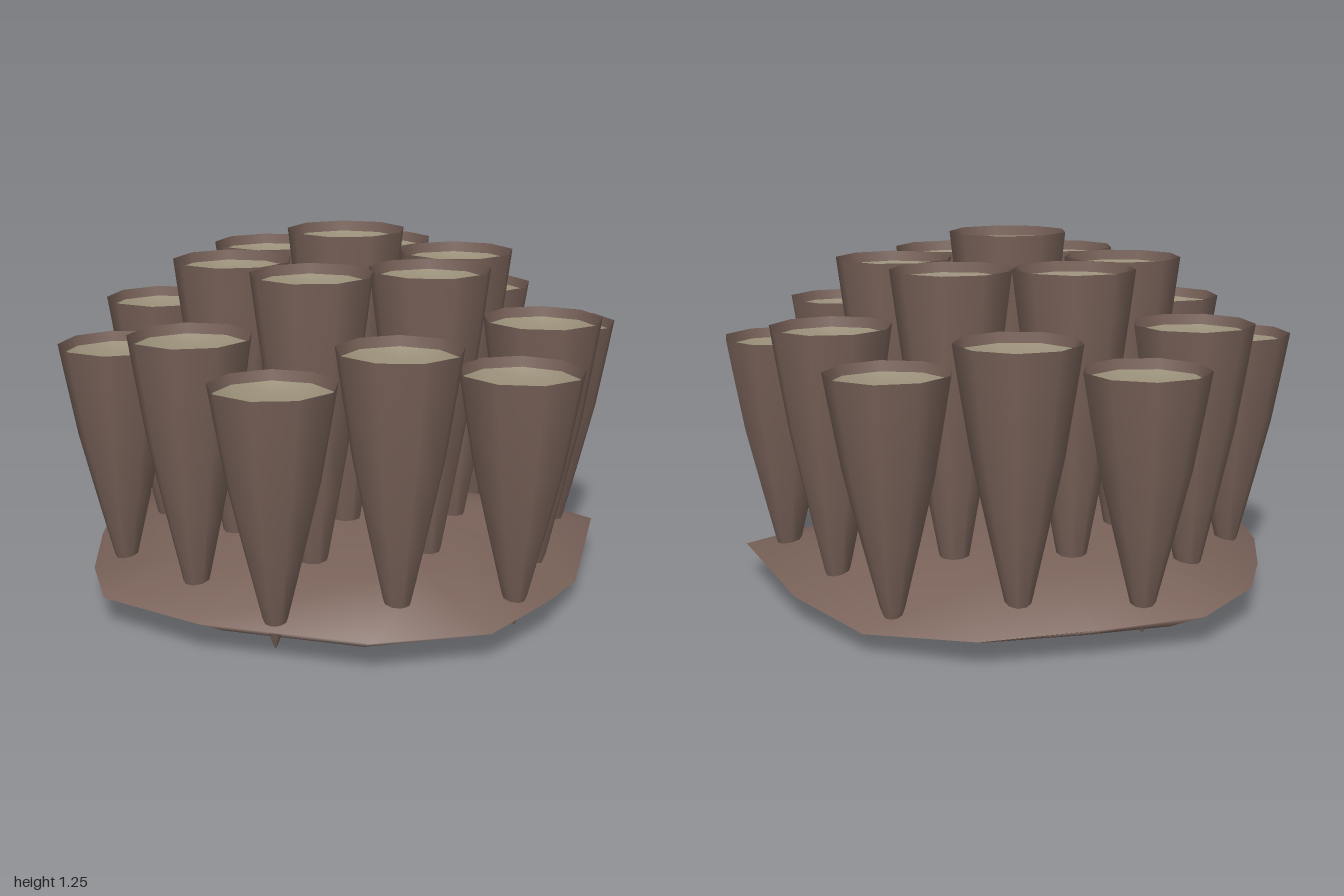
import * as THREE from 'three';

const brown = new THREE.MeshStandardMaterial({ color: 0x7a635a, side: THREE.DoubleSide });
const tan = new THREE.MeshStandardMaterial({ color: 0x958b75, side: THREE.DoubleSide });
const v2 = (x, y) => new THREE.Vector2(x, y);

// Uneven slab edge: x, y, z, running left-back-right-front
const EDGE = [
  [-0.93, 0.12, -0.08], [-0.88, 0.11, -0.38], [-0.62, 0.1, -0.62], [-0.32, 0.09, -0.86],
  [0.06, 0.07, -0.92], [0.42, 0.09, -0.78], [0.86, 0.12, -0.46], [0.87, 0.06, 0.05],
  [0.82, 0.11, 0.38], [0.69, 0.1, 0.66], [0.35, 0.11, 0.86], [-0.22, 0.11, 0.87],
  [-0.6, 0.1, 0.74], [-0.75, 0.1, 0.5], [-0.86, 0.11, 0.2],
];
// Slab rings from the underside over the edge to the top: scale, height (null = edge height)
const RINGS = [[0.84, 0.032], [1, null], [0.6, 0.175], [0.28, 0.198], [0, 0.2]];

function createBase() {
  const base = new THREE.Group();
  base.name = 'base';
  const n = EDGE.length, pos = [], idx = [];
  for (const [s, h] of RINGS) for (const [x, y, z] of EDGE) pos.push(x * s, h ?? y, z * s);
  for (let k = 0; k < RINGS.length - 1; k++) {
    for (let i = 0; i < n; i++) {
      const j = (i + 1) % n;
      const a = k * n + i, b = k * n + j, c = a + n, d = b + n;
      idx.push(a, c, b);
      if (k < RINGS.length - 2) idx.push(b, c, d);
    }
  }
  const g = new THREE.BufferGeometry();
  g.setAttribute('position', new THREE.Float32BufferAttribute(pos, 3));
  g.setIndex(idx);
  g.computeVertexNormals();
  const slab = new THREE.Mesh(g, brown);
  slab.name = 'baseTop';

  // Underside with a triangular opening, sagging towards the opening
  const s = RINGS[0][0];
  const shape = new THREE.Shape(EDGE.map(([x, , z]) => v2(x * s, z * s)));
  shape.holes.push(new THREE.Path([v2(0.58, -0.13), v2(0.28, 0.42), v2(-0.53, -0.29)]));
  const under = new THREE.ShapeGeometry(shape).rotateX(Math.PI / 2);
  const p = under.attributes.position;
  for (let i = 0; i < p.count; i++) p.setY(i, i < n ? RINGS[0][1] : 0);
  under.computeVertexNormals();
  const bottom = new THREE.Mesh(under, brown);
  bottom.name = 'baseUnderside';
  base.add(slab, bottom);
  return base;
}

// Tapered cup: thin wall running down to a tip, with a shallow dish just inside the rim
function createCup(height, turn) {
  const cup = new THREE.Group();
  cup.name = 'cup';
  const sides = 9, tip = 0.13, len = height - tip;
  const wall = new THREE.Mesh(new THREE.LatheGeometry([
    v2(0.004, 0.03), v2(0.042, tip), v2(0.095, tip + len * 0.28), v2(0.15, tip + len * 0.58),
    v2(0.188, tip + len * 0.86), v2(0.206, height),
  ], sides), brown);
  wall.name = 'cupWall';
  const dish = new THREE.Mesh(new THREE.LatheGeometry([
    v2(0.197, height - 0.035), v2(0.16, height - 0.062), v2(0.09, height - 0.083), v2(0, height - 0.092),
  ], sides), tan);
  dish.name = 'cupDish';
  cup.add(wall, dish);
  cup.rotation.y = turn;
  return cup;
}

export function createModel() {
  const model = new THREE.Group();
  model.name = 'cupCluster';
  model.add(createBase());

  // Hexagonal cluster of 19 cups, stepping down from the centre
  const step = 0.4, heights = { 0: 1.255, 1: 1.165, 3: 0.98, 4: 0.89 };
  for (let q = -2; q <= 2; q++) {
    for (let r = -2; r <= 2; r++) {
      if (Math.abs(q + r) > 2) continue;
      const ring = q * q + q * r + r * r; // squared distance in steps
      const cup = createCup(heights[ring], q * 1.3 + r * 0.7);
      cup.position.set(0.022 + q * step * Math.sqrt(3) / 2, 0, (r + q / 2) * step);
      model.add(cup);
    }
  }
  return model;
}
